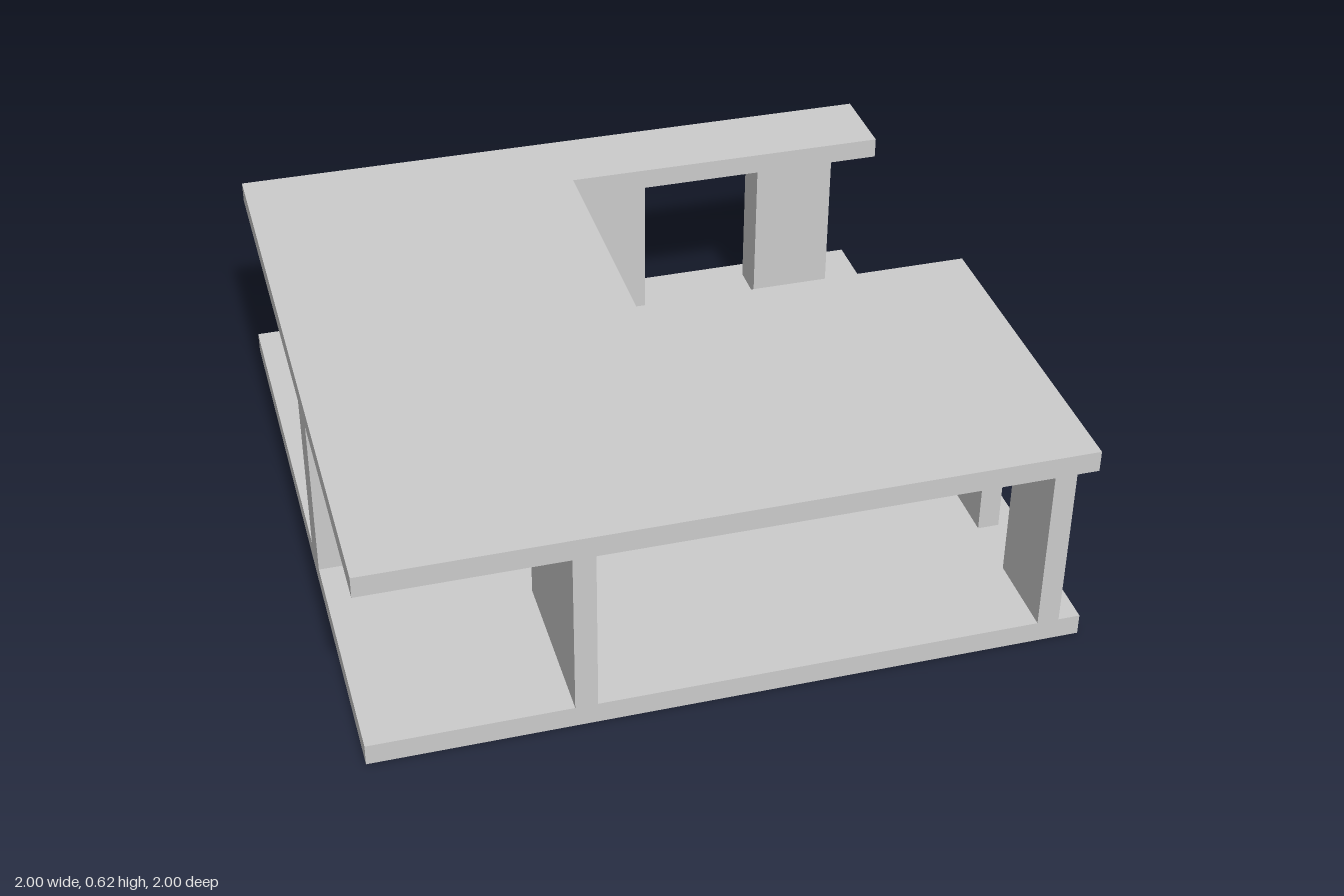
import * as THREE from 'three';

const T = 0.0625; // slab and wall thickness
const H = 0.625;  // overall height

export function createModel() {
  const model = new THREE.Group();
  const material = new THREE.MeshStandardMaterial({ color: 0xcccccc, flatShading: true });

  const add = (name, geometry) => {
    const mesh = new THREE.Mesh(geometry, material);
    mesh.name = name;
    model.add(mesh);
    return mesh;
  };

  // Square slab with a rectangular courtyard notch, drawn as (x, -z)
  const outline = new THREE.Shape(
    [[-1, -1], [1, -1], [1, 0], [0, 0], [0, 0.75], [1, 0.75], [1, 1], [-1, 1]]
      .map(([x, y]) => new THREE.Vector2(x, y)));
  const slab = new THREE.ExtrudeGeometry(outline, { depth: T, bevelEnabled: false });
  slab.rotateX(-Math.PI / 2);
  add('floorSlab', slab);
  add('roofSlab', slab).position.y = H - T;

  // Walls between the slabs: name, x range, z range
  const walls = [
    ['frontLeftFin', 0.875, 0.9375, 0.75, 1],
    ['leftSideWall', 0.875, 0.9375, 0.0625, 0.5625],
    ['leftReturnWall', 0.625, 0.875, 0.1875, 0.25],
    ['frontPartition', -0.4375, -0.375, 0.5, 1],
    ['centreWall', -0.25, 0.25, 0.1875, 0.25],
    ['rightWall', -0.75, -0.5, 0.1875, 0.25],
    ['rightPier', -1, -0.75, 0.125, 0.25],
    ['backWall', -0.25, 0.25, -0.875, -0.8125],
    ['backReturnWall', -0.3125, -0.25, -0.875, -0.625],
    ['backPier', 0.625, 0.875, -0.9375, -0.8125],
  ];
  for (const [name, x0, x1, z0, z1] of walls) {
    add(name, new THREE.BoxGeometry(x1 - x0, H - 2 * T, z1 - z0))
      .position.set((x0 + x1) / 2, H / 2, (z0 + z1) / 2);
  }
  return model;
}
